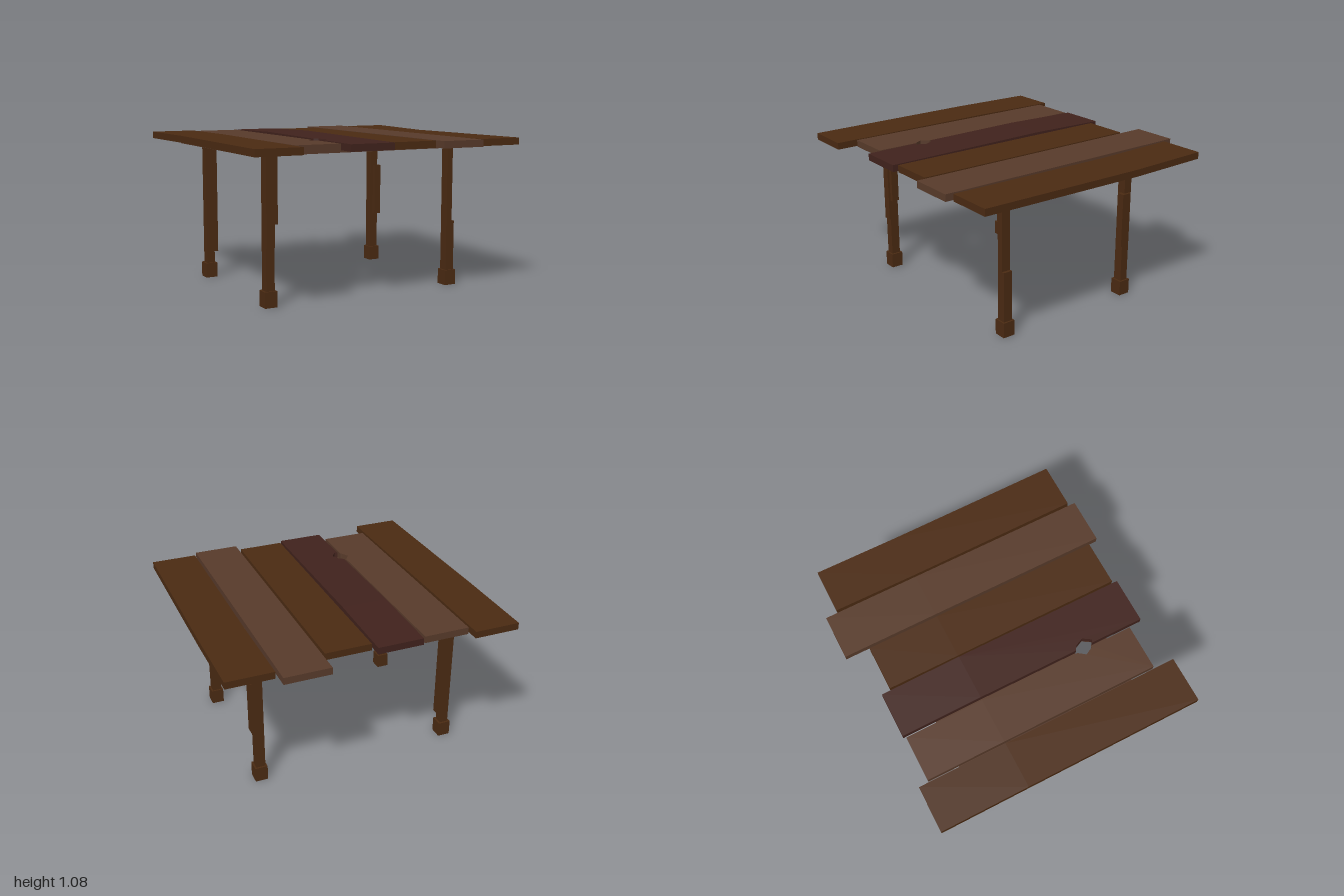
import * as THREE from 'three';
import { mergeGeometries } from 'three/addons/utils/BufferGeometryUtils.js';

const wood = (color) => new THREE.MeshStandardMaterial({ color, flatShading: true });
const DARK = wood(0x4a2a12), LIGHT = wood(0x573a2a), RED = wood(0x40221c);
const BEND = -0.3; // z where the warped planks bend

// Horizontal slab from an outline of [x, z] points, between y0 and y1
function slab(points, y0, y1, hole) {
  const toVec = ([x, z]) => new THREE.Vector2(x, -z);
  const shape = new THREE.Shape(points.map(toVec));
  if (hole) shape.holes.push(new THREE.Path(hole.map(toVec)));
  return new THREE.ExtrudeGeometry(shape, { depth: y1 - y0, bevelEnabled: false })
    .rotateX(-Math.PI / 2).translate(0, y0, 0);
}

// Plank in two halves that meet at the bend, raised or lowered there by bow
function plank({ x, z, y = [1.015, 1.063], bow = 0, leftNotch = [], rightNotch = [] }) {
  const [x0, x1] = x, [z0, z1] = z;
  const back = slab([[x0, z0], [x1, z0], [x1, BEND], [x0, BEND]], ...y);
  const front = slab([[x0, BEND], [x1, BEND], ...rightNotch, [x1, z1], [x0, z1], ...leftNotch], ...y);
  const geo = mergeGeometries([back, front]);
  const p = geo.attributes.position;
  for (let i = 0; i < p.count; i++) {
    const pz = p.getZ(i), end = pz < BEND ? z0 : z1;
    p.setY(i, p.getY(i) + bow * (1 - (pz - BEND) / (end - BEND)));
  }
  geo.computeVertexNormals();
  return geo;
}

// Box given by its ranges on each axis
function block(name, [x0, x1], [y0, y1], [z0, z1]) {
  const m = new THREE.Mesh(new THREE.BoxGeometry(x1 - x0, y1 - y0, z1 - z0), DARK);
  m.position.set((x0 + x1) / 2, (y0 + y1) / 2, (z0 + z1) / 2);
  m.name = name;
  return m;
}

export function createModel() {
  const table = new THREE.Group();
  table.name = 'plankTable';
  const add = (name, geo, mat) => {
    const m = new THREE.Mesh(geo, mat);
    m.name = name;
    table.add(m);
  };

  // Uneven top planks; the second and third share a knot hole
  const planks = [
    { x: [-1, -0.68], z: [-0.92, 0.965], bow: 0.005, mat: DARK },
    { x: [-0.665, -0.348], z: [-0.85, 0.822], mat: LIGHT,
      rightNotch: [[-0.348, 0.418], [-0.385, 0.468], [-0.358, 0.52], [-0.348, 0.527]] },
    { x: [-0.33, -0.01], z: [-0.868, 0.918], y: [1.017, 1.064], bow: 0.012, mat: RED,
      leftNotch: [[-0.33, 0.539], [-0.31, 0.553], [-0.273, 0.495], [-0.3, 0.436], [-0.33, 0.417]] },
    { x: [0.005, 0.325], z: [-0.803, 0.888], mat: DARK },
    { x: [0.343, 0.66], z: [-0.973, 0.957], mat: LIGHT },
    { x: [0.68, 1], z: [-0.888, 0.913], bow: -0.01, mat: DARK },
  ];
  planks.forEach((p, i) => add(`plank${i + 1}`, plank(p), p.mat));

  // Thin panel under the planks, pierced by the same knot hole
  const knot = [[-0.342, 0.41], [-0.3, 0.436], [-0.273, 0.495], [-0.31, 0.553], [-0.358, 0.52], [-0.385, 0.468]];
  add('underPanel', slab([[-0.88, -0.63], [0.87, -0.63], [0.87, 0.657], [-0.88, 0.657]], 0.99, 1.014, knot), LIGHT);

  // Legs: post, wider foot and the patches nailed to each
  const legs = [
    { name: 'frontRightLeg', x: [-0.75, -0.69], z: [0.5, 0.565],
      patches: [[[-0.75, -0.69], [0.39, 0.99], [0.51, 0.575]], [[-0.70, -0.662], [0.54, 0.99], [0.505, 0.56]]] },
    { name: 'backRightLeg', x: [-0.75, -0.69], z: [-0.54, -0.48],
      patches: [[[-0.70, -0.66], [0.19, 0.99], [-0.535, -0.485]]] },
    { name: 'frontLeftLeg', x: [0.655, 0.7], z: [0.5, 0.565],
      patches: [[[0.69, 0.72], [0.1, 0.46], [0.5, 0.565]]] },
    { name: 'backLeftLeg', x: [0.655, 0.72], z: [-0.54, -0.48],
      patches: [[[0.68, 0.735], [0.38, 0.77], [-0.525, -0.455]]] },
  ];
  for (const { name, x, z, patches } of legs) {
    const leg = new THREE.Group();
    leg.name = name;
    const cx = x[0] < 0 ? -0.72 : 0.688, cz = z[0] < 0 ? -0.51 : 0.532;
    leg.add(
      block('post', x, [0.1, 0.992], z),
      block('foot', [cx - 0.044, cx + 0.044], [0, 0.107], [cz - 0.044, cz + 0.044]),
      ...patches.map((p) => block('patch', ...p)),
    );
    table.add(leg);
  }
  return table;
}
